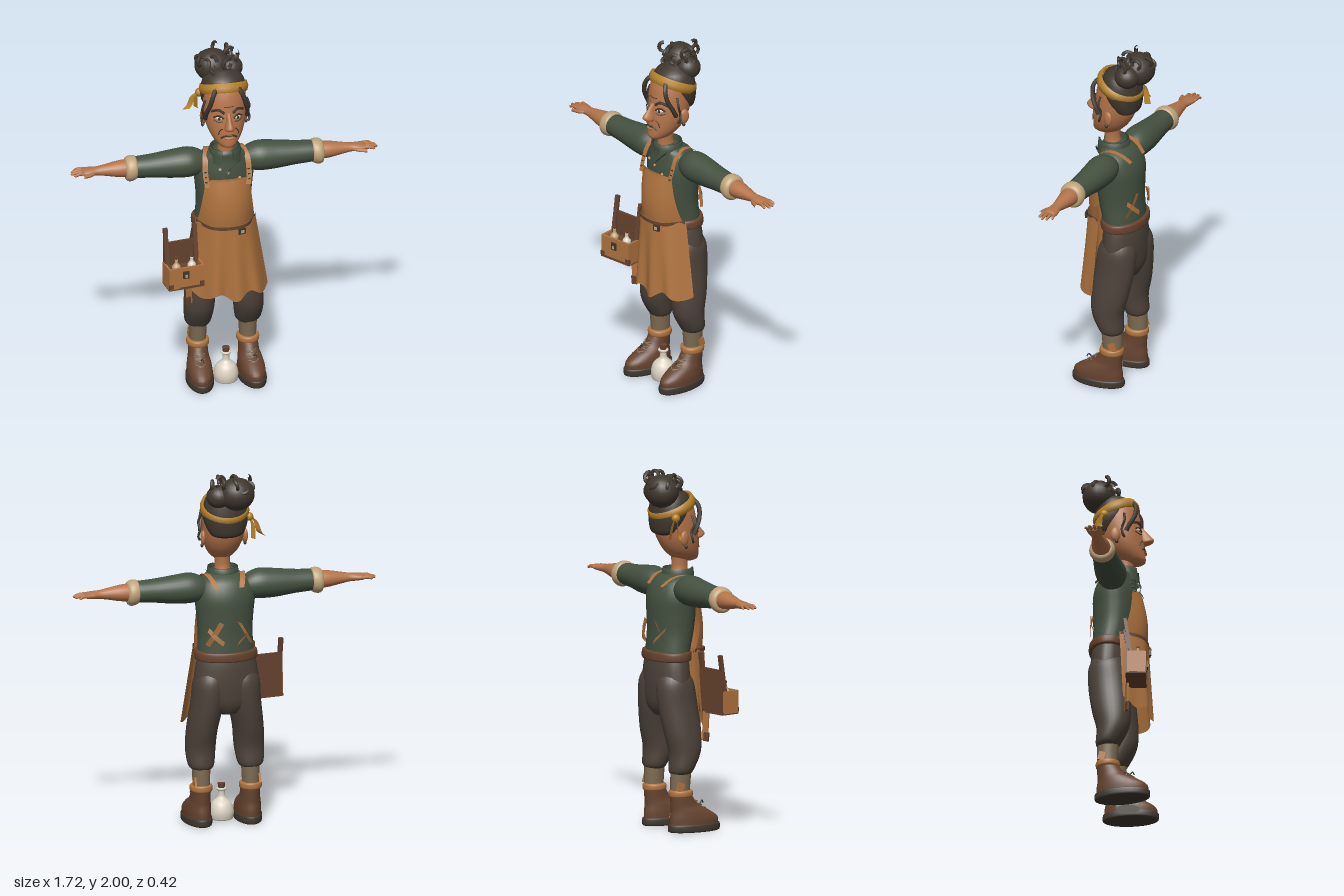
import * as THREE from 'three';

const mat = (name, color, open) => {
  const m = new THREE.MeshStandardMaterial({ color, side: open ? THREE.DoubleSide : THREE.FrontSide });
  m.name = name;
  return m;
};
const V = (p) => new THREE.Vector3(...p);

// Smooth value of a table of rows at t in 0..1 (Catmull-Rom)
function rowAt(rows, t) {
  const f = t * (rows.length - 1), i = Math.min(Math.floor(f), rows.length - 2), u = f - i;
  const a = rows[Math.max(i - 1, 0)], b = rows[i], c = rows[i + 1], d = rows[Math.min(i + 2, rows.length - 1)];
  return b.map((_, k) => b[k] + 0.5 * u * (c[k] - a[k] + u * (2 * a[k] - 5 * b[k] + 4 * c[k] - d[k] + u * (3 * (b[k] - c[k]) + d[k] - a[k]))));
}

// Closed body through horizontal ellipses, rows rising: [y, cx, cz, rx, rz]
function loft(rows, seg = 28, sub = 4) {
  const n = (rows.length - 1) * sub, pos = [], idx = [];
  for (let i = 0; i <= n; i++) {
    const [y, cx, cz, rx, rz] = rowAt(rows, i / n);
    for (let j = 0; j < seg; j++) {
      const a = j / seg * Math.PI * 2;
      pos.push(cx + rx * Math.cos(a), y, cz + rz * Math.sin(a));
    }
  }
  for (let i = 0; i < n; i++) for (let j = 0; j < seg; j++) {
    const p = i * seg + j, q = i * seg + (j + 1) % seg;
    idx.push(p, p + seg, q, q, p + seg, q + seg);
  }
  const lo = rows[0], hi = rows[rows.length - 1], c = (n + 1) * seg;
  pos.push(lo[1], lo[0], lo[2], hi[1], hi[0], hi[2]);
  for (let j = 0; j < seg; j++) {
    const k = (j + 1) % seg;
    idx.push(c, j, k, c + 1, n * seg + k, n * seg + j);
  }
  const g = new THREE.BufferGeometry();
  g.setAttribute('position', new THREE.Float32BufferAttribute(pos, 3));
  g.setIndex(idx);
  g.computeVertexNormals();
  return g;
}

// Cloth sheet: fn(u in -1..1, v from 0 top to 1 bottom) -> [x, y, z]
function sheet(fn, nu = 32, nv = 12) {
  const g = new THREE.PlaneGeometry(2, 1, nu, nv), p = g.attributes.position;
  for (let i = 0; i < p.count; i++) p.setXYZ(i, ...fn(p.getX(i), 0.5 - p.getY(i)));
  g.computeVertexNormals();
  return g;
}
const ribbon = (pts, w, dir = [1, 0, 0], taper = 1) => {
  const c = new THREE.CatmullRomCurve3(pts.map(V)), d = V(dir).normalize();
  return sheet((u, v) => c.getPoint(v).addScaledVector(d, u * w / 2 * (1 + (taper - 1) * v)).toArray(), 1, 16);
};
const tube = (pts, r) => new THREE.TubeGeometry(new THREE.CatmullRomCurve3(pts.map(V)), 14, r, 6);
const ball = (sx, sy, sz) => new THREE.SphereGeometry(1, 20, 14).scale(sx, sy, sz);
const box = (x, y, z) => new THREE.BoxGeometry(x, y, z);

export function createModel() {
  const M = {
    skin: mat('skin', 0xb4744a), leather: mat('tan leather', 0xb0743f, true), green: mat('green cloth', 0x445140, true),
    pants: mat('trouser cloth', 0x4c4239), brown: mat('brown leather', 0x66432f, true), tan: mat('sleeve lining', 0xc0a47c),
    white: mat('cream ceramic', 0xdad2c2), gold: mat('yellow cloth', 0xb5822a, true),
    hair: mat('dark hair', 0x40382f), sock: mat('sock wool', 0x7d6b52),
  };
  const root = new THREE.Group();
  const add = (name, g, m, p = [0, 0, 0], r = [0, 0, 0], parent = root) => {
    const o = new THREE.Mesh(g, m);
    o.name = name;
    o.position.set(...p);
    o.rotation.set(...r);
    parent.add(o);
    return o;
  };
  const group = (name, p = [0, 0, 0], r = [0, 0, 0]) => {
    const g = new THREE.Group();
    g.name = name; g.position.set(...p); g.rotation.set(...r);
    root.add(g);
    return g;
  };

  // Torso, collar and belt
  add('shirt', loft([[0.93, 0, -0.055, 0.162, 0.1], [1, 0, -0.045, 0.157, 0.108], [1.1, 0, -0.03, 0.153, 0.118], [1.2, 0, -0.025, 0.16, 0.125], [1.3, 0, -0.025, 0.168, 0.122], [1.38, 0, -0.015, 0.145, 0.1], [1.42, 0, 0.01, 0.09, 0.075], [1.44, 0, 0.02, 0.05, 0.05]]), M.green);
  const profile = [[0.092, 0], [0.088, 0.05], [0.084, 0.08], [0.074, 0.078], [0.07, 0]].map((q) => new THREE.Vector2(...q));
  add('collar', new THREE.LatheGeometry(profile, 28, 0.4, Math.PI * 2 - 0.8), M.green, [0, 1.37, 0.02]);
  add('lapel', ribbon([[0.075, 1.41, 0.085], [0.02, 1.35, 0.112], [-0.06, 1.27, 0.112]], 0.045, [0.6, 0.8, 0]), M.green);
  for (const [x, y] of [[0.065, 1.285], [-0.045, 1.345], [0, 1.32]]) add('shirtButton', ball(0.009, 0.009, 0.005), M.tan, [x, y, 0.108]);
  add('belt', loft([[0.945, 0, -0.052, 0.165, 0.112], [0.953, 0, -0.052, 0.176, 0.12], [0.99, 0, -0.052, 0.174, 0.119], [0.998, 0, -0.052, 0.16, 0.11]]), M.brown);

  // Trousers
  add('trouserSeat', loft([[0.64, 0, -0.055, 0.06, 0.07], [0.7, 0, -0.055, 0.15, 0.1], [0.8, 0, -0.056, 0.183, 0.108], [0.9, 0, -0.054, 0.174, 0.107], [0.96, 0, -0.052, 0.16, 0.1]]), M.pants);

  for (const s of [1, -1]) {
    const side = s > 0 ? 'left' : 'right';
    // Legs and boots
    add(side + 'TrouserLeg', loft([[0.32, 0.135, -0.045, 0.045, 0.05], [0.345, 0.14, -0.045, 0.072, 0.068], [0.44, 0.138, -0.02, 0.084, 0.09], [0.55, 0.13, -0.028, 0.086, 0.108], [0.7, 0.105, -0.045, 0.092, 0.115], [0.82, 0.092, -0.054, 0.095, 0.108], [0.88, 0.09, -0.055, 0.07, 0.08]].map(([y, x, ...q]) => [y, x * s, ...q])), M.pants);
    const foot = group(side + 'Boot', [0.143 * s, 0, 0], [0, 0.06 * s, 0]);
    const put = (n, g, m, p, r) => add(n, g, m, p, r, foot);
    put('sock', loft([[0.16, 0, -0.05, 0.045, 0.055], [0.24, 0, -0.05, 0.047, 0.056], [0.35, 0, -0.045, 0.052, 0.06]]), M.sock);
    put('bootCuff', loft([[0.195, 0, -0.048, 0.052, 0.058], [0.203, 0, -0.046, 0.062, 0.067], [0.227, 0, -0.046, 0.062, 0.067], [0.235, 0, -0.048, 0.05, 0.058]]), M.leather);
    put('ankleStrap', box(0.012, 0.05, 0.04), M.leather, [0.045 * s, 0.255, -0.07], [0.3, 0, 0]);
    put('bootUpper', loft([[0.035, 0, 0.035, 0.07, 0.145], [0.075, 0, 0.033, 0.071, 0.143], [0.115, 0, 0.008, 0.065, 0.112], [0.15, 0, -0.025, 0.056, 0.08], [0.205, 0, -0.045, 0.053, 0.062], [0.215, 0, -0.045, 0.045, 0.055]]), M.brown);
    put('bootSole', loft([[0, 0, 0.035, 0.068, 0.146], [0.008, 0, 0.035, 0.076, 0.155], [0.038, 0, 0.035, 0.076, 0.155], [0.045, 0, 0.035, 0.068, 0.146]]), M.hair);
    for (let i = 0; i < 4; i++) {
      const y = 0.125 + i * 0.02, z = 0.096 - i * 0.026;
      for (const d of [1, -1]) put('lace', tube([[-0.028 * d, y - 0.008, z - 0.004], [0, y, z + 0.008], [0.028 * d, y + 0.006, z - 0.012]], 0.004), M.sock);
    }
    put('laceEnd', tube([[0, 0.14, 0.07], [0.01, 0.165, 0.09], [0.015, 0.15, 0.1]], 0.0035), M.hair);

    // Arm: built upright, then laid out sideways; y is the distance from the centre line
    const arm = group(side + 'Arm', [0, 1.345, -0.02], [0, 0, -s * Math.PI / 2]);
    const on = (n, g, m, p, r) => add(n, g, m, p, r, arm);
    on('sleeve', loft([[0.1, 0, 0, 0.04, 0.05], [0.14, 0, 0, 0.07, 0.07], [0.2, -0.003 * s, 0.003, 0.084, 0.085], [0.29, 0, 0.002, 0.079, 0.08], [0.4, 0, 0.004, 0.066, 0.07], [0.51, 0, 0.005, 0.058, 0.06], [0.53, 0, 0.005, 0.045, 0.045]]), M.green);
    on('sleeveCuff', loft([[0.49, 0, 0.005, 0.055, 0.057], [0.5, 0, 0.005, 0.068, 0.068], [0.53, 0.004 * s, 0.005, 0.072, 0.072], [0.55, 0.005 * s, 0.005, 0.062, 0.062], [0.556, 0.005 * s, 0.005, 0.045, 0.045]]), M.tan);
    on('forearm', loft([[0.5, 0, 0.005, 0.05, 0.05], [0.58, 0, 0.005, 0.047, 0.05], [0.66, 0, 0.005, 0.033, 0.036], [0.71, 0, 0.005, 0.024, 0.03], [0.75, 0, 0.003, 0.021, 0.038], [0.785, 0, 0, 0.016, 0.04], [0.795, 0, 0, 0.008, 0.032]], 20), M.skin);
    [[-0.033, 0.835], [-0.012, 0.854], [0.01, 0.86], [0.031, 0.845]].forEach(([z, y]) =>
      on('finger', loft([[0.77, 0, z * 0.9, 0.01, 0.01], [0.81, -0.002 * s, z, 0.0095, 0.0095], [y - 0.01, 0.004 * s, z * 1.15, 0.0075, 0.0075], [y, 0.005 * s, z * 1.15, 0.002, 0.002]], 10), M.skin));
    on('thumb', tube([[0.002, 0.715, 0.02], [0.004 * s, 0.75, 0.044], [0.006 * s, 0.795, 0.056]], 0.011), M.skin);

    // Apron straps, stitched loops and the torn strap pieces on the back
    add(side + 'ApronStrap', ribbon([[0.115 * s, 1.24, 0.108], [0.122 * s, 1.31, 0.085], [0.118 * s, 1.385, 0.055], [0.105 * s, 1.418, 0], [0.09 * s, 1.405, -0.07], [0.07 * s, 1.36, -0.128]], 0.03), M.leather);
    for (let i = 0; i < 3; i++) add('strapStitch', box(0.012, 0.006, 0.006), M.hair, [0.121 * s, 1.27 + i * 0.026, 0.101 - i * 0.01]);
    add('backStrapPiece', ribbon([[0.05 * s, 1.17, -0.156], [0.09 * s, 1.1, -0.146], [0.125 * s, 1.04, -0.126]], 0.03, [0.85, 0.5, 0]), M.leather);
    add('backStrapPiece', ribbon([[0.12 * s, 1.13, -0.131], [0.085 * s, 1.09, -0.152], [0.04 * s, 1.05, -0.162]], 0.026, [0.4, -0.9, 0]), M.leather);
  }

  // Apron bib and flared skirt
  const smooth = (u, n) => Math.pow(Math.abs(u), n);
  add('apronBib', sheet((u, v) => {
    const w = 0.122 + 0.04 * v;
    return [u * w, 1.285 - 0.3 * v - 0.015 * (1 - v) * smooth(u, 4), 0.122 + 0.03 * Math.sin(v * 2.4) - (0.035 + 0.08 * v) * smooth(u, 2.5)];
  }), M.leather);
  add('apronBibHem', ribbon([[-0.118, 1.272, 0.092], [-0.06, 1.283, 0.118], [0, 1.285, 0.127], [0.06, 1.283, 0.118], [0.118, 1.272, 0.092]], 0.012, [0, 1, 0]), M.leather);
  add('apronSkirt', sheet((u, v) => [
    u * (0.168 + 0.055 * v) + 0.015 * v,
    1.01 - v * (0.44 + 0.022 * Math.sin(u * 8 + 1) * v - 0.015 * u * u),
    0.152 + 0.015 * v - 0.13 * smooth(u, 3) + 0.012 * v * Math.sin(u * 11),
  ], 48, 16), M.leather);
  add('apronSeam', ribbon([[-0.168, 1.005, 0.028], [-0.1, 1.0, 0.132], [0, 0.998, 0.157], [0.1, 1.0, 0.132], [0.168, 1.005, 0.028]], 0.02, [0, 1, 0]), M.brown);
  add('apronBuckle', box(0.04, 0.034, 0.012), M.hair, [0.07, 0.975, 0.152], [0, 0.25, 0]);
  add('apronBucklePlate', box(0.02, 0.016, 0.006), M.tan, [0.072, 0.975, 0.159], [0, 0.25, 0]);
  add('hangingStrip', box(0.035, 0.16, 0.01), M.leather, [-0.213, 0.59, 0.07], [0, 0.5, 0.06]);
  add('hangingStripEnd', box(0.03, 0.05, 0.012), M.brown, [-0.217, 0.53, 0.072], [0, 0.5, 0.1]);

  // Neck, head and face
  add('neck', loft([[1.37, 0, 0.02, 0.062, 0.06], [1.44, 0, 0.028, 0.044, 0.046], [1.49, 0, 0.03, 0.043, 0.046], [1.56, 0, 0.03, 0.05, 0.055]]), M.skin);
  const headRows = [[1.483, 0, 0.085, 0.022, 0.03], [1.5, 0, 0.068, 0.054, 0.072], [1.55, 0, 0.038, 0.09, 0.1], [1.62, 0, 0.015, 0.112, 0.117], [1.7, 0, 0, 0.118, 0.12], [1.78, 0, -0.01, 0.113, 0.115], [1.84, 0, -0.015, 0.09, 0.09], [1.87, 0, -0.02, 0.03, 0.03]];
  add('head', loft(headRows, 36), M.skin);
  const faceZ = (x, y) => {
    const i = Math.max(0, headRows.findIndex((q) => q[0] > y) - 1), a = headRows[i], b = headRows[i + 1];
    const t = (y - a[0]) / (b[0] - a[0]), k = a.map((q, j) => q + (b[j] - q) * t);
    return k[2] + k[4] * Math.sqrt(Math.max(0, 1 - (x / k[3]) ** 2));
  };
  const faceLine = (name, pts, r, m = M.hair) => add(name, tube(pts.map(([x, y]) => [x, y, faceZ(x, y) + 0.002]), r), m);
  add('nose', loft([[1.6, 0, 0.135, 0.018, 0.015], [1.612, 0, 0.145, 0.028, 0.034], [1.63, 0, 0.145, 0.024, 0.042], [1.66, 0, 0.128, 0.015, 0.034], [1.7, 0, 0.112, 0.012, 0.016]], 16), M.skin);
  faceLine('mouth', [[-0.045, 1.553], [-0.02, 1.568], [0, 1.565], [0.02, 1.568], [0.045, 1.553]], 0.005);
  faceLine('lowerLip', [[-0.022, 1.553], [0, 1.55], [0.022, 1.553]], 0.008, M.skin);
  faceLine('foreheadCrease', [[-0.03, 1.735], [0, 1.732], [0.03, 1.735]], 0.0025);
  for (const s of [1, -1]) {
    faceLine('eyebrow', [[0.022 * s, 1.698], [0.05 * s, 1.716], [0.088 * s, 1.702]], 0.008);
    add('eyeWhite', ball(0.021, 0.011, 0.008), M.white, [0.052 * s, 1.668, faceZ(0.052, 1.668) - 0.001], [0, 0.45 * s, 0]);
    add('iris', ball(0.009, 0.01, 0.005), M.hair, [0.051 * s, 1.668, faceZ(0.051, 1.668) + 0.005]);
    faceLine('upperEyelid', [[0.027 * s, 1.668], [0.052 * s, 1.683], [0.08 * s, 1.668]], 0.0055);
    faceLine('eyeCrease', [[0.033 * s, 1.651], [0.055 * s, 1.645], [0.08 * s, 1.654]], 0.003);
    faceLine('cheekCrease', [[0.036 * s, 1.61], [0.052 * s, 1.59], [0.056 * s, 1.57]], 0.003);
    add('ear', ball(0.016, 0.042, 0.028), M.skin, [0.117 * s, 1.625, -0.008], [0, -0.25 * s, 0]);
    add('earring', ball(0.009, 0.012, 0.009), M.hair, [0.122 * s, 1.58, 0]);
    // Loose locks at the temples
    add('templeLock', tube([[0.05 * s, 1.85, 0.06], [0.082 * s, 1.8, 0.1], [0.1 * s, 1.74, 0.098], [0.116 * s, 1.68, 0.07], [0.117 * s, 1.64, 0.05]], 0.013), M.hair);
    add('sideCurl', tube([[0.115 * s, 1.75, 0.04], [0.132 * s, 1.7, 0.045], [0.126 * s, 1.66, 0.03], [0.134 * s, 1.62, 0.035], [0.124 * s, 1.6, 0.045]], 0.007), M.hair);
  }

  // Hair, bun and curls
  add('hairCap', loft([[1.64, 0, -0.075, 0.06, 0.035], [1.66, 0, -0.07, 0.095, 0.065], [1.73, 0, -0.045, 0.124, 0.1], [1.8, 0, -0.035, 0.124, 0.105], [1.86, 0, -0.03, 0.1, 0.095], [1.9, 0, -0.04, 0.04, 0.04]]), M.hair);
  add('bun', ball(0.1, 0.092, 0.092), M.hair, [-0.045, 1.888, -0.11]);
  add('bunSide', ball(0.07, 0.065, 0.07), M.hair, [0.05, 1.875, -0.09]);
  for (let i = 0; i < 9; i++) {
    const a = i * 2.4, h = (i % 3) * 0.035;
    add('bunCurl', new THREE.TorusGeometry(0.026, 0.01, 6, 14, 5), M.hair, [-0.03 + 0.085 * Math.cos(a), 1.89 + h, -0.1 + 0.08 * Math.sin(a)], [a, a * 1.7, a]);
  }
  for (const [x, y, z, r] of [[0.045, 1.961, -0.1, 0.3], [0.085, 1.94, -0.08, 1.2], [-0.12, 1.945, -0.06, 0.8], [0.02, 1.93, -0.02, 0.5], [-0.05, 1.945, -0.04, 2]])
    add('topCurl', new THREE.TorusGeometry(0.028, 0.0105, 6, 16, 5.2), M.hair, [x, y, z], [0, r, r * 2]);

  // Headband with knot and tails
  const band = [[0.118, -0.025], [0.13, -0.027], [0.137, 0], [0.13, 0.027], [0.118, 0.025]].map((q) => new THREE.Vector2(...q));
  add('headband', new THREE.LatheGeometry(band, 40), M.gold, [0, 1.79, -0.022], [-0.42, 0, 0]);
  add('headbandKnot', ball(0.022, 0.024, 0.024), M.gold, [-0.128, 1.745, -0.07]);
  add('headbandTail', ribbon([[-0.13, 1.75, -0.07], [-0.16, 1.72, -0.08], [-0.18, 1.66, -0.085], [-0.2, 1.64, -0.08]], 0.022, [0.7, 0.3, 0.5], 2.2), M.gold);
  add('headbandTail', ribbon([[-0.13, 1.74, -0.08], [-0.14, 1.7, -0.1], [-0.138, 1.63, -0.115]], 0.02, [0.5, 0, 0.8], 1.8), M.gold);

  // Open carrying case at the right hip
  const kit = group('carryingCase', [-0.255, 0, 0.13], [0, 0.15, 0]);
  const pack = (n, g, m, p, r) => add(n, g, m, p, r, kit);
  pack('caseFront', box(0.2, 0.125, 0.012), M.leather, [0, 0.735, 0.05]);
  pack('caseBase', box(0.205, 0.014, 0.112), M.brown, [0, 0.673, 0]);
  pack('caseBack', box(0.195, 0.25, 0.014), M.brown, [0, 0.79, -0.05]);
  pack('caseTray', box(0.18, 0.02, 0.09), M.brown, [0, 0.765, 0]);
  pack('caseClasp', box(0.034, 0.042, 0.01), M.hair, [-0.005, 0.755, 0.06]);
  pack('claspPin', box(0.014, 0.016, 0.006), M.tan, [-0.005, 0.75, 0.066]);
  for (const s of [1, -1]) {
    pack('caseSide', box(0.012, 0.125, 0.1), M.leather, [0.097 * s, 0.735, 0]);
    pack('caseCorner', box(0.026, 0.026, 0.016), M.brown, [0.09 * s, 0.69, 0.051]);
    pack('caseArm', box(0.024, 0.22, 0.018), M.brown, [0.085 * s, 0.89, -0.045], [-0.15, 0, 0]);
    pack('smallFlask', loft([[0.765, 0, 0, 0.02, 0.02], [0.79, 0, 0, 0.024, 0.024], [0.812, 0, 0, 0.01, 0.01], [0.835, 0, 0, 0.009, 0.009]], 14), s > 0 ? M.white : M.tan, [0.045 * s, 0, 0.01]);
    pack('flaskCork', new THREE.CylinderGeometry(0.008, 0.007, 0.014, 10), M.brown, [0.045 * s, 0.84, 0.01]);
  }

  // Round bottle standing between the boots
  const bottle = [[0, 0.004], [0.055, 0.004], [0.066, 0.02], [0.068, 0.055], [0.055, 0.095], [0.03, 0.12], [0.02, 0.135], [0.019, 0.165], [0.027, 0.17], [0.027, 0.18], [0, 0.181]];
  add('bottle', new THREE.LatheGeometry(new THREE.SplineCurve(bottle.map((q) => new THREE.Vector2(...q))).getPoints(40), 28), M.white, [0, 0, 0.045]);
  add('bottleCork', new THREE.CylinderGeometry(0.021, 0.017, 0.03, 14), M.brown, [0, 0.192, 0.045]);
  return root;
}
